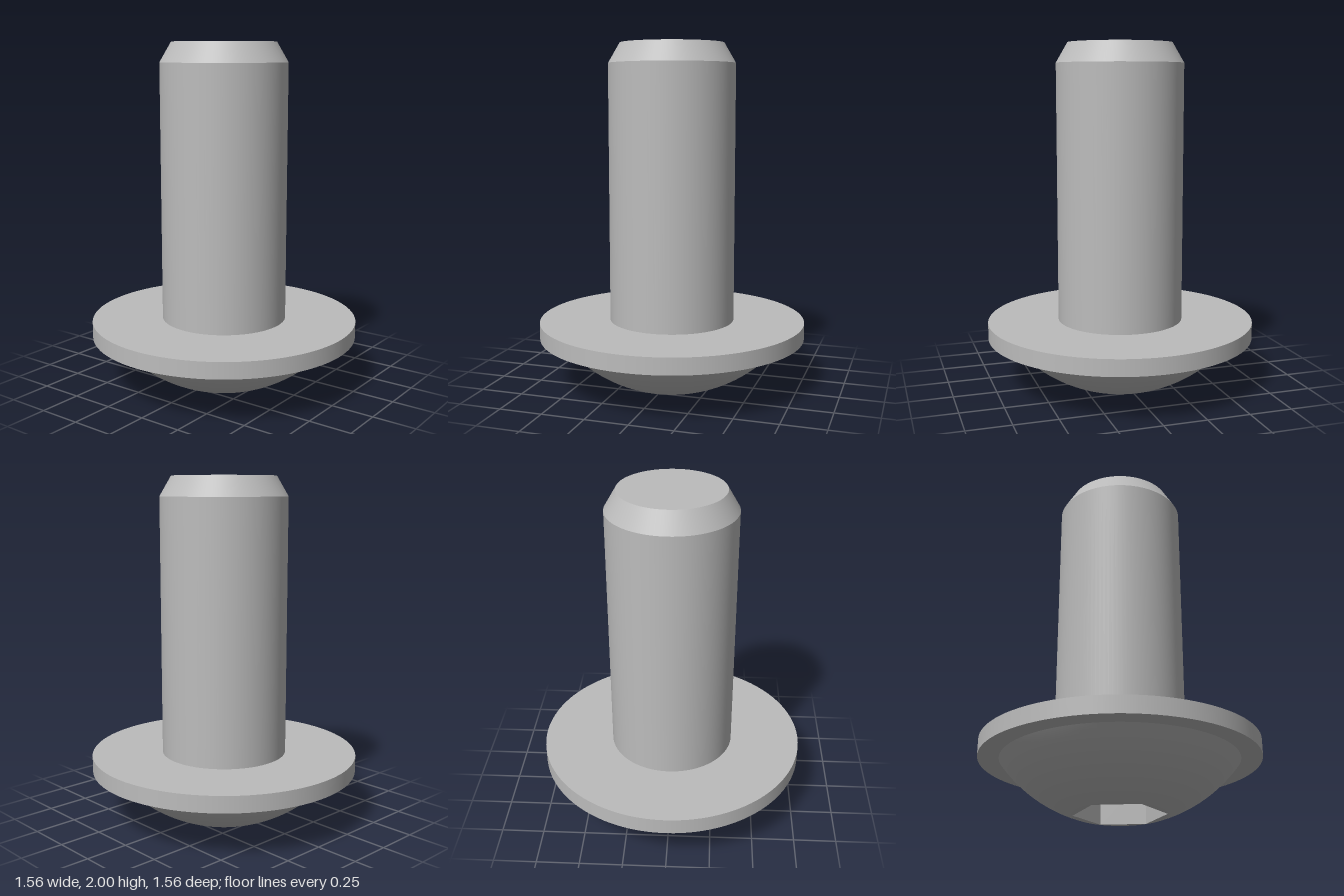
import * as THREE from 'three';

const SEGMENTS = 96;
const RIM = 0.262;    // radius of the flat end of the dome
const HEX = 0.257;    // socket corner radius
const DEPTH = 0.27;   // socket depth

export function createModel() {
  const bolt = new THREE.Group();
  bolt.name = 'bolt';
  const steel = new THREE.MeshStandardMaterial({ color: 0xbcbcbc });
  steel.name = 'steel';

  const add = (parent, name, geometry) => {
    const mesh = new THREE.Mesh(geometry, steel);
    mesh.name = name;
    parent.add(mesh);
    return mesh;
  };
  // Surface of revolution from [radius, height] pairs, bottom to top on the outside
  const lathe = (name, points) =>
    add(bolt, name, new THREE.LatheGeometry(points.map(([r, y]) => new THREE.Vector2(r, y)), SEGMENTS));

  // Shank with chamfered tip
  lathe('shank', [[0.367, 0.385], [0.367, 1.885]]);
  lathe('chamfer', [[0.367, 1.885], [0.3, 2]]);
  lathe('tip', [[0.3, 2], [0, 2]]);

  // Flange
  lathe('flangeUnderside', [[0.66, 0.29], [0.782, 0.29]]);
  lathe('flangeEdge', [[0.782, 0.29], [0.782, 0.385]]);
  lathe('flangeTop', [[0.782, 0.385], [0.36, 0.385]]);

  // Domed head: spherical arc from the flat end up to the flange
  const centreY = 0.79;
  const radius = Math.hypot(RIM, centreY);
  const start = Math.asin(RIM / radius);
  const end = Math.acos((centreY - 0.29) / radius);
  const arc = [];
  for (let i = 0; i <= 16; i++) {
    const a = start + (end - start) * i / 16;
    arc.push([radius * Math.sin(a), centreY - radius * Math.cos(a)]);
  }
  lathe('dome', arc);

  // Hexagonal socket
  const socket = new THREE.Group();
  socket.name = 'socket';
  socket.rotation.y = -0.05;
  bolt.add(socket);

  // Flat end face with the hexagon cut out
  const face = new THREE.Shape().absarc(0, 0, RIM, 0, Math.PI * 2, false);
  const corners = [];
  for (let i = 0; i < 6; i++) {
    const a = Math.PI / 2 - i * Math.PI / 3;
    corners.push(new THREE.Vector2(HEX * Math.cos(a), HEX * Math.sin(a)));
  }
  face.holes.push(new THREE.Path(corners));
  add(socket, 'endFace', new THREE.ShapeGeometry(face, SEGMENTS / 2).rotateX(Math.PI / 2));

  // Inward-facing walls: mirrored prism with flat normals
  const walls = new THREE.CylinderGeometry(HEX, HEX, DEPTH, 6, 1, true)
    .scale(-1, 1, 1).translate(0, DEPTH / 2, 0).toNonIndexed();
  walls.computeVertexNormals();
  add(socket, 'socketWalls', walls);

  const floor = new THREE.CircleGeometry(HEX, 6, Math.PI / 2).rotateX(Math.PI / 2);
  add(socket, 'socketFloor', floor.translate(0, DEPTH, 0));

  return bolt;
}
